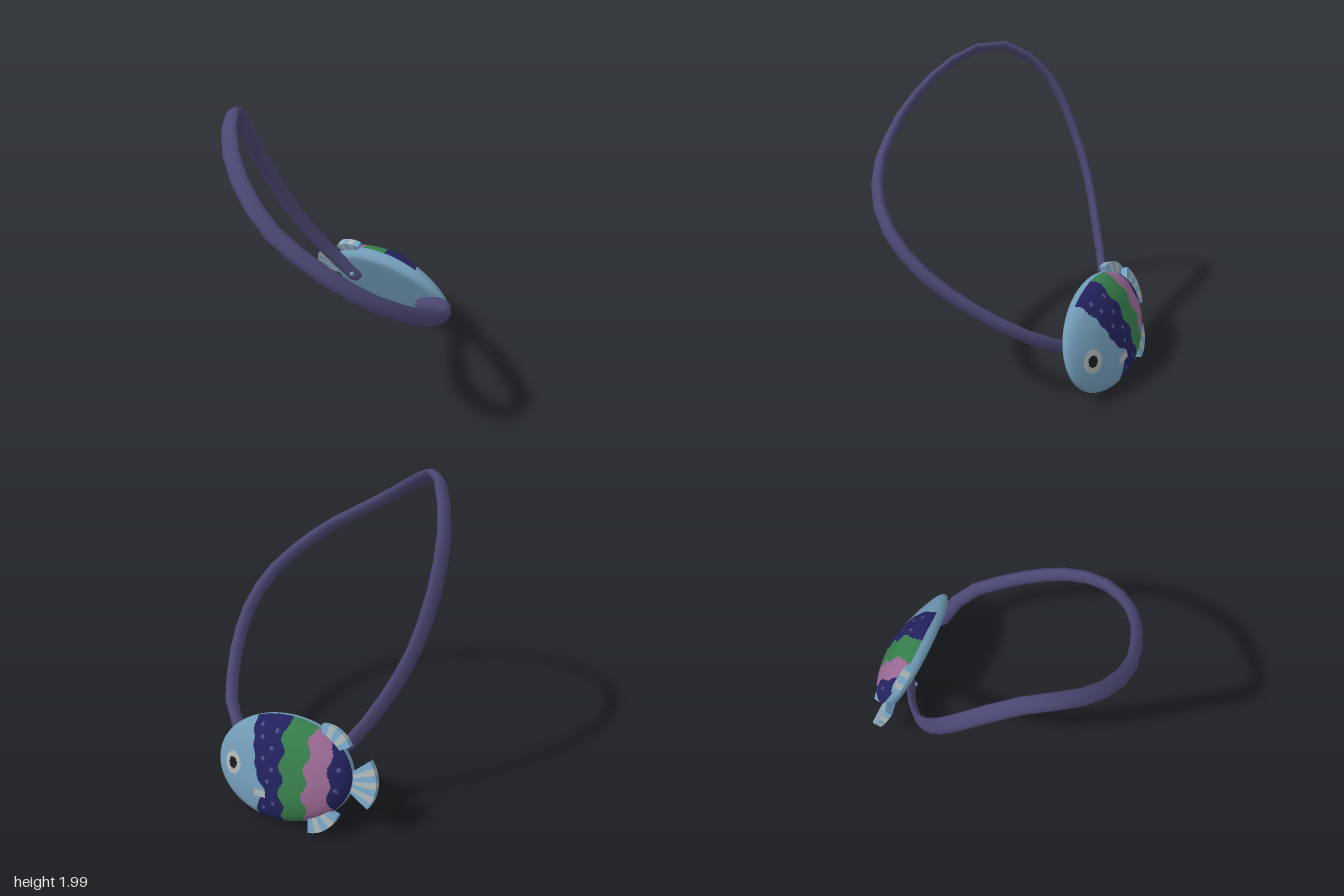
import * as THREE from 'three';

const mat = (name, color, side = THREE.FrontSide) => {
  const m = new THREE.MeshStandardMaterial({ color, side });
  m.name = name;
  return m;
};

const HALF_LENGTH = 0.482, HALF_HEIGHT = 0.34;
const SPOTS = [[0.1, 0.2], [0.02, 0.14], [0.08, 0.07], [0.01, 0.01], [0.04, -0.07], [0.0, -0.21], [0.12, 0.27],
  [0.0, 0.25], [0.08, -0.25], [-0.41, 0.06], [-0.4, -0.07]];

// Paint scheme on the domed side: t runs from tail to nose, y up the body.
// 0 light blue, 1 navy, 2 green, 3 pink, 4 spot, 5 pale grey, 6 black
function paint(t, y) {
  const eye = Math.hypot((t - 0.333) / 0.068, (y + 0.012) / 0.076);
  if (eye < 0.5) return 6;
  if (eye < 1) return 5;
  if (Math.abs(t - 0.1) < 0.045 && Math.abs(y + 0.16) < 0.022) return 5;
  const wave = 0.018 * Math.sin(y * 36);
  const dent = 0.075 * Math.exp(-(((y + 0.14) / 0.07) ** 2));
  if (t > 0.135 + 0.18 * Math.max(y, 0) - dent + 0.006 * Math.sin(y * 60)) return 0;
  const pinkEnd = -0.36 + wave * 0.7, greenEnd = -0.215 - 0.06 * y + wave, navyEnd = -0.055 + wave;
  if (t < pinkEnd || t > navyEnd) return SPOTS.some(([a, b]) => Math.hypot(t - a, y - b) < 0.014) ? 4 : 1;
  return t > greenEnd ? 2 : 3;
}

// Flat-backed, gently domed body; +x is the tail, +z the domed side
function bodyGeometry() {
  const profile = new THREE.SplineCurve([[0, 0], [0.45, 0.002], [0.86, 0.008], [0.965, 0.028], [1, 0.065], [0.97, 0.112],
    [0.85, 0.16], [0.6, 0.2], [0.3, 0.217], [0, 0.222]].map(p => new THREE.Vector2(...p))).getSpacedPoints(120);
  const N = 200, pos = [], buckets = [[], [], [], [], [], [], []];
  profile.forEach(p => {
    for (let j = 0; j < N; j++) {
      const a = j / N * Math.PI * 2;
      const x = p.x * Math.cos(a);
      const lower = 1 - 0.48 * Math.max(0, -x) ** 1.15;
      pos.push(x * HALF_LENGTH, p.x * Math.sin(a) * HALF_HEIGHT, p.y * lower);
    }
  });
  for (let i = 0; i < profile.length - 1; i++) {
    for (let j = 0; j < N; j++) {
      const k = (j + 1) % N, a = i * N + j, b = a + N, c = (i + 1) * N + k, d = i * N + k;
      for (const tri of [[a, c, b], [a, d, c]]) {
        const mean = o => tri.reduce((s, v) => s + pos[v * 3 + o], 0) / 3;
        const colour = profile[i].y > 0.085 ? paint(-mean(0), mean(1)) : 0;
        buckets[colour].push(tri);
      }
    }
  }
  const g = new THREE.BufferGeometry();
  g.setAttribute('position', new THREE.Float32BufferAttribute(pos, 3));
  let start = 0;
  buckets.forEach((b, m) => { g.addGroup(start, b.length * 3, m); start += b.length * 3; });
  g.setIndex(buckets.flat(2));
  g.computeVertexNormals();
  return g;
}

// Fan fin made of wedges in alternating colours
function fin(name, x, y, z, angle, r0, r1, spread, count, colours) {
  const group = new THREE.Group();
  group.name = name;
  for (let i = 0; i < count; i++) {
    const a0 = -spread + 2 * spread * i / count, a1 = a0 + 2 * spread / count;
    const s = new THREE.Shape();
    s.absarc(0, 0, r1, a0, a1, false);
    s.absarc(0, 0, r0, a1, a0, true);
    s.closePath();
    const g = new THREE.ExtrudeGeometry(s, { depth: 0.07, bevelEnabled: false, curveSegments: 3 });
    // Thin the fin towards its outer edge
    const p = g.attributes.position;
    for (let v = 0; v < p.count; v++) {
      const r = Math.hypot(p.getX(v), p.getY(v));
      p.setZ(v, (p.getZ(v) - 0.035) * (1 - 0.3 * (r - r0) / (r1 - r0)));
    }
    g.computeVertexNormals();
    const ray = new THREE.Mesh(g, colours[i % 2]);
    ray.name = 'finRay';
    group.add(ray);
  }
  group.position.set(x, y, z);
  group.rotation.z = angle;
  return group;
}

// Band swept along the loop: flat at the tail end, thicker and slightly twisted at the nose end
function strapGeometry() {
  const path = new THREE.CatmullRomCurve3([[0.065, 0.365, -0.585], [-0.1, 0.53, -0.6], [-0.3, 0.8, -0.57], [-0.47, 1.1, -0.52],
    [-0.6, 1.45, -0.41], [-0.67, 1.75, -0.26], [-0.69, 1.93, -0.05], [-0.69, 1.972, 0.12], [-0.68, 1.92, 0.3],
    [-0.62, 1.8, 0.5], [-0.45, 1.6, 0.715], [-0.25, 1.45, 0.82], [-0.08, 1.34, 0.865], [0.1, 1.21, 0.865],
    [0.3, 1.07, 0.79], [0.47, 0.91, 0.63], [0.58, 0.74, 0.39], [0.635, 0.57, 0.1], [0.64, 0.49, -0.06],
    [0.6, 0.41, -0.2], [0.49, 0.305, -0.35]].map(p => new THREE.Vector3(...p)));
  // Closely spaced, narrowed sections round off both ends
  const steps = [0, ...Array.from({ length: 30 }, (_, i) => 0.007 + 0.986 * i / 29), 1];
  const S = steps.length - 1, N = 8, pos = [], index = [];
  const tailAxis = new THREE.Vector3(0.8, 0.56, -0.21), noseAxis = new THREE.Vector3(0.55, 0.7, -0.45);
  steps.forEach((s, i) => {
    const c = path.getPointAt(s), t = path.getTangentAt(s);
    const turn = THREE.MathUtils.smoothstep(s, 0.35, 0.75);
    const axis = tailAxis.clone().lerp(noseAxis, turn);
    const wide = axis.addScaledVector(t, -axis.dot(t)).normalize();
    const thin = new THREE.Vector3().crossVectors(t, wide);
    const scale = i === 0 || i === S ? 0.6 : 1;
    const halfWide = 0.053 * scale, halfThin = (0.025 + 0.013 * turn) * scale;
    for (let j = 0; j < N; j++) {
      const a = (j + 0.5) / N * Math.PI * 2;
      const p = c.clone().addScaledVector(wide, halfWide * Math.cos(a)).addScaledVector(thin, halfThin * Math.sin(a));
      pos.push(p.x, p.y, p.z);
      if (i < S) {
        const k = (j + 1) % N, q = i * N;
        index.push(q + j, q + k, q + N + k, q + j, q + N + k, q + N + j);
      }
    }
  });
  for (let j = 1; j < N - 1; j++) index.push(0, j + 1, j, S * N, S * N + j, S * N + j + 1);
  const g = new THREE.BufferGeometry();
  g.setAttribute('position', new THREE.Float32BufferAttribute(pos, 3));
  g.setIndex(index);
  g.computeVertexNormals();
  return g;
}

export function createModel() {
  const blue = mat('lightBlue', 0x7099b4), navy = mat('navy', 0x22215c), green = mat('green', 0x367d4b);
  const pink = mat('pink', 0x986791), spot = mat('spotBlue', 0x4c4f82), grey = mat('paleGrey', 0xa8b0b2);
  const black = mat('black', 0x1a1a1c), finBlue = mat('finBlue', 0x74a2c2);
  const strapMat = mat('strapPurple', 0x4a4872, THREE.DoubleSide);

  const model = new THREE.Group();
  model.name = 'fishPatch';

  // Fish, tilted so its domed side faces back, up and to the left
  const fish = new THREE.Group();
  fish.name = 'fish';
  const out = new THREE.Vector3(0.48, 0.39, -0.785).normalize();
  const tail = new THREE.Vector3(-0.874, 0.126, -0.47);
  tail.addScaledVector(out, -tail.dot(out)).normalize();
  const up = new THREE.Vector3().crossVectors(out, tail);
  fish.quaternion.setFromRotationMatrix(new THREE.Matrix4().makeBasis(tail, up, out));
  fish.position.set(0.283, 0.306, -0.505);
  const body = new THREE.Mesh(bodyGeometry(), [blue, navy, green, pink, spot, grey, black]);
  body.name = 'body';
  fish.add(body);

  // Fins
  const stripes = [finBlue, grey];
  fish.add(fin('tailFin', 0.378, -0.025, 0.05, 0, 0.06, 0.25, 0.64, 7, stripes));
  fish.add(fin('dorsalFin', 0.275, 0.113, 0.088, 1.02, 0.05, 0.205, 0.58, 5, stripes));
  fish.add(fin('bellyFin', 0.205, -0.165, 0.092, -0.94, 0.05, 0.212, 0.6, 5, stripes));
  model.add(fish);

  // Strap with a small stud at each end
  const strap = new THREE.Mesh(strapGeometry(), strapMat);
  strap.name = 'strap';
  model.add(strap);
  for (const [x, y, z] of [[0.01, 0.412, -0.568], [0.5, 0.325, -0.305]]) {
    const stud = new THREE.Mesh(new THREE.SphereGeometry(0.018, 12, 8), blue);
    stud.name = 'strapStud';
    stud.position.set(x, y, z);
    model.add(stud);
  }
  return model;
}
